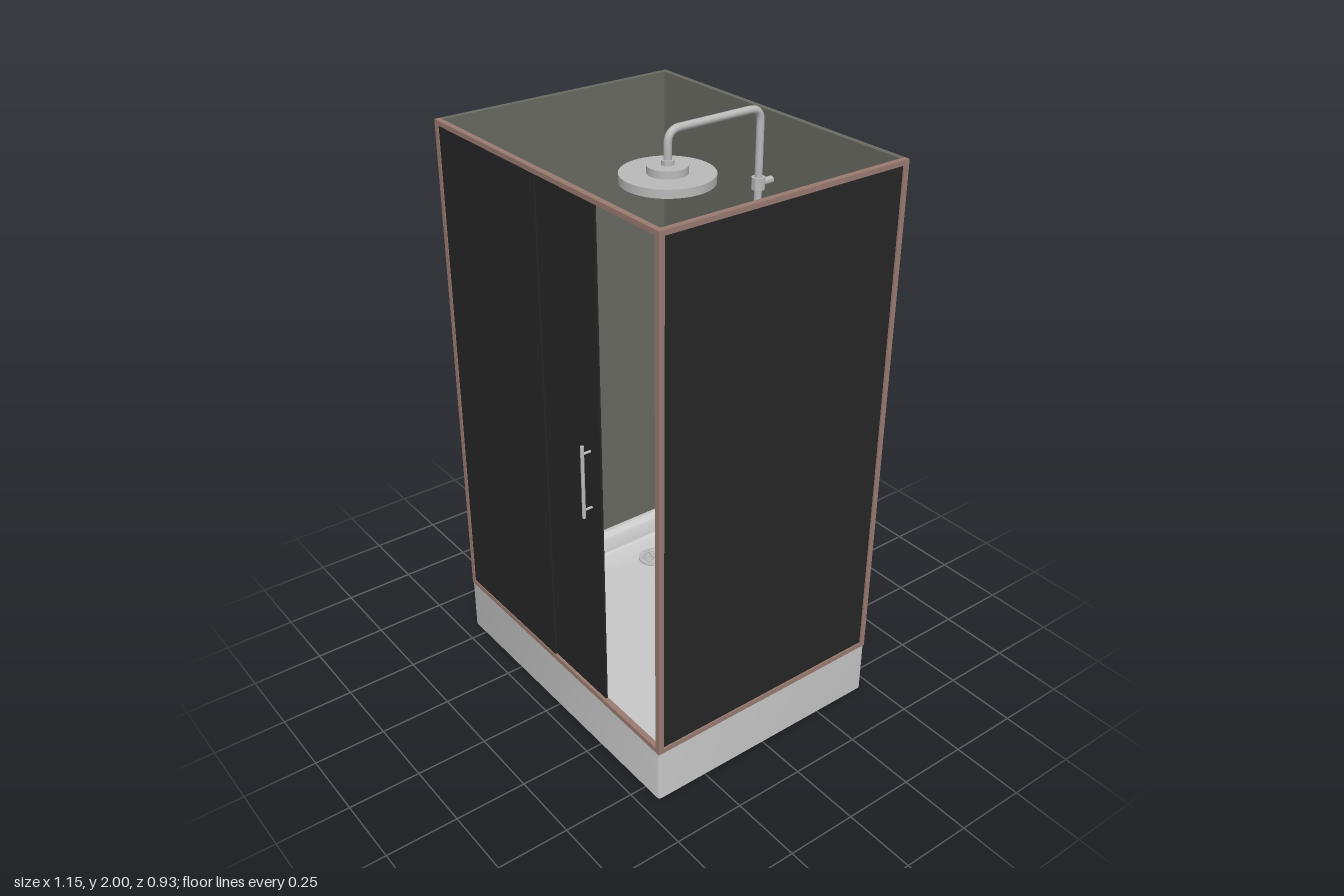
import * as THREE from 'three';
import { toCreasedNormals } from 'three/addons/utils/BufferGeometryUtils.js';

const mat = (name, color, side = THREE.FrontSide) => {
  const m = new THREE.MeshStandardMaterial({ color, side });
  m.name = name;
  return m;
};

export function createModel() {
  const root = new THREE.Group();
  root.name = 'showerCabin';
  const acrylic = mat('acrylic', 0xc8c8c8);
  const wallGrey = mat('wallGrey', 0x6a6a63);
  const smokedGlass = mat('smokedGlass', 0x262626);
  const copper = mat('copperFrame', 0x9a7b71);
  const chrome = mat('chrome', 0xbababa);

  const add = (name, geo, material, x = 0, y = 0, z = 0, parent = root) => {
    const m = new THREE.Mesh(geo, material);
    m.name = name;
    m.position.set(x, y, z);
    parent.add(m);
    return m;
  };
  // Box given by its limits on each axis
  const box = (name, material, x0, x1, y0, y1, z0, z1) =>
    add(name, new THREE.BoxGeometry(x1 - x0, y1 - y0, z1 - z0), material,
      (x0 + x1) / 2, (y0 + y1) / 2, (z0 + z1) / 2);
  const cyl = (name, r, h, x, y, z, parent = root, r2 = r) =>
    add(name, toCreasedNormals(new THREE.CylinderGeometry(r, r2, h, 40), 0.6), chrome, x, y, z, parent);
  const tube = (name, curve, r, n = 48) =>
    add(name, new THREE.TubeGeometry(curve, n, r, 12), chrome);
  const V = (x, y, z) => new THREE.Vector3(x, y, z);

  // Rounded rectangle loop, counter-clockwise from above
  const ring = ([x0, x1, z0, z1, y, r]) => {
    const pts = [];
    const corners = [[x1 - r, z0 + r], [x0 + r, z0 + r], [x0 + r, z1 - r], [x1 - r, z1 - r]];
    corners.forEach(([cx, cz], k) => {
      for (let i = 0; i <= 6; i++) {
        const a = (k + i / 6) * Math.PI / 2;
        pts.push(V(cx + r * Math.cos(a), y, cz - r * Math.sin(a)));
      }
    });
    return pts;
  };
  const loft = (rows) => {
    const rings = rows.map(ring), pos = [], n = rings[0].length;
    const tri = (a, b, c) => {
      const area = V().subVectors(b, a).cross(V().subVectors(c, a)).length();
      if (area > 1e-9) [a, b, c].forEach((p) => pos.push(p.x, p.y, p.z));
    };
    for (let k = 0; k + 1 < rings.length; k++) {
      for (let i = 0; i < n; i++) {
        const j = (i + 1) % n, lo = rings[k], hi = rings[k + 1];
        tri(lo[i], lo[j], hi[j]);
        tri(lo[i], hi[j], hi[i]);
      }
    }
    const g = new THREE.BufferGeometry();
    g.setAttribute('position', new THREE.Float32BufferAttribute(pos, 3));
    g.computeVertexNormals();
    return toCreasedNormals(g, 0.5);
  };

  // Tray: outside, rim, sloped inside and floor falling to the drain
  const X0 = -0.574, X1 = 0.572, Z0 = -0.46, Z1 = 0.44, dx = -0.39, dz = -0.265;
  add('tray', loft([
    [0, 0, 0, 0, 0, 0],
    [X0, X1, Z0, Z1, 0, 0.01],
    [X0, X1, Z0, Z1, 0.19, 0.01],
    [-0.555, 0.553, -0.44, 0.42, 0.19, 0.01],
    [-0.552, 0.55, -0.437, 0.417, 0.18, 0.01],
    [-0.53, 0.53, -0.415, 0.395, 0.168, 0.02],
    [-0.522, 0.522, -0.41, 0.39, 0.155, 0.025],
    [-0.515, 0.515, -0.403, 0.383, 0.112, 0.03],
    [-0.505, 0.505, -0.393, 0.373, 0.105, 0.03],
    [dx, dx, dz, dz, 0.098, 0],
  ]), acrylic);

  // Drain with spoked grate
  cyl('drainFlange', 0.058, 0.006, dx, 0.102, dz);
  const drainRing = add('drainRing', new THREE.TorusGeometry(0.036, 0.004, 10, 36), chrome, dx, 0.106, dz);
  drainRing.rotation.x = Math.PI / 2;
  cyl('drainHub', 0.01, 0.006, dx, 0.108, dz);
  for (let i = 0; i < 3; i++) {
    const bar = add('drainSpoke', new THREE.BoxGeometry(0.068, 0.005, 0.006), chrome, dx, 0.107, dz);
    bar.rotation.y = i * Math.PI / 3;
  }

  // Solid back and side walls
  const B = 0.19, T = 1.96, t = 0.019;
  box('backWall', wallGrey, X0, X1 - t, B, T, Z0, Z0 + t);
  box('sideWall', wallGrey, X0, X0 + t, B, T, Z0 + t, Z1 - t);

  // Copper frame around the front and the glazed side
  box('frontPost', copper, X0, X0 + t, B, T, Z1 - t, Z1);
  box('cornerPost', copper, X1 - t, X1, B, T, Z1 - t, Z1);
  box('rearPost', copper, X1 - t, X1, B, T, Z0, Z0 + t);
  for (const [y0, y1] of [[B, B + 0.018], [T - 0.016, T]]) {
    box('frontRail', copper, X0 + t, X1 - t, y0, y1, Z1 - t, Z1);
    box('sideRail', copper, X1 - t, X1, y0, y1, Z0 + t, Z1 - t);
  }

  // Glass: fixed front panel, sliding door and side panel
  const g0 = B + 0.018, g1 = T - 0.016;
  box('fixedGlass', smokedGlass, X0 + t, -0.02, g0, g1, 0.431, 0.437);
  box('slidingDoor', smokedGlass, -0.05, 0.27, g0, g1, 0.423, 0.43);
  box('sideGlass', smokedGlass, X1 - 0.013, X1 - 0.005, g0, g1, Z0 + t, Z1 - t);

  // Door handles on both faces
  for (const z of [0.46, 0.403]) cyl('doorHandle', 0.006, 0.255, 0.22, 1.04, z);
  for (const y of [0.94, 1.14]) {
    cyl('handleMount', 0.004, 0.057, 0.22, y, 0.4315).rotation.x = Math.PI / 2;
  }

  // Riser pipe and overhead arm
  const px = 0.01, pz = -0.385, hz = -0.02, top = 1.986, bend = 0.045;
  const path = new THREE.CurvePath();
  path.add(new THREE.LineCurve3(V(px, 0.92, pz), V(px, top - bend, pz)));
  path.add(new THREE.QuadraticBezierCurve3(V(px, top - bend, pz), V(px, top, pz), V(px, top, pz + bend)));
  path.add(new THREE.LineCurve3(V(px, top, pz + bend), V(px, top, hz - bend)));
  path.add(new THREE.QuadraticBezierCurve3(V(px, top, hz - bend), V(px, top, hz), V(px, top - bend, hz)));
  path.add(new THREE.LineCurve3(V(px, top - bend, hz), V(px, 1.88, hz)));
  tube('riserPipe', path, 0.013, 160);

  // Overhead rain head
  cyl('rainHead', 0.15, 0.028, px, 1.841, hz);
  cyl('rainHeadHub', 0.065, 0.025, px, 1.867, hz);
  cyl('rainHeadCollar', 0.02, 0.02, px, 1.885, hz);

  // Wall brackets
  for (const y of [1.74, 1.0]) {
    cyl('wallBracket', 0.012, 0.06, px, y, -0.412).rotation.x = Math.PI / 2;
    cyl('bracketCollar', 0.022, 0.04, px, y, pz);
  }

  // Hand shower on its holder
  cyl('holderSlider', 0.022, 0.05, px, 1.55, pz);
  cyl('holderArm', 0.011, 0.06, -0.02, 1.55, pz).rotation.z = Math.PI / 2;
  const hand = new THREE.Group();
  hand.name = 'handShower';
  hand.position.set(-0.05, 1.57, -0.365);
  hand.rotation.x = 1.15;
  root.add(hand);
  cyl('handHead', 0.045, 0.018, 0, 0.01, 0, hand, 0.034);
  for (let i = 0; i < 8; i++) {
    const a = i * Math.PI / 4;
    cyl('nozzle', 0.004, 0.004, 0.03 * Math.cos(a), 0.021, 0.03 * Math.sin(a), hand);
  }
  tube('handGrip', new THREE.CatmullRomCurve3(
    [V(-0.05, 1.57, -0.372), V(-0.05, 1.52, -0.39), V(-0.047, 1.44, -0.398)]), 0.01, 20);

  // Flexible hose looping down to the mixer
  tube('hose', new THREE.CatmullRomCurve3([
    V(-0.047, 1.45, -0.398), V(-0.07, 1.3, -0.4), V(-0.13, 1.08, -0.4), V(-0.163, 0.86, -0.4),
    V(-0.145, 0.67, -0.4), V(-0.09, 0.6, -0.4), V(-0.03, 0.63, -0.4), V(0, 0.76, -0.4), V(0.01, 0.89, -0.4),
  ]), 0.006, 90);

  // Mixer with wall plate, knob and lever
  box('mixerPlate', chrome, -0.022, 0.042, 0.85, 0.99, -0.441, -0.425);
  box('mixerBody', chrome, -0.012, 0.032, 0.885, 0.955, -0.425, -0.35);
  box('mixerLever', chrome, -0.02, 0.04, 0.945, 0.957, -0.37, -0.305);
  cyl('mixerKnob', 0.026, 0.03, -0.035, 0.92, -0.39).rotation.z = Math.PI / 2;

  return root;
}
